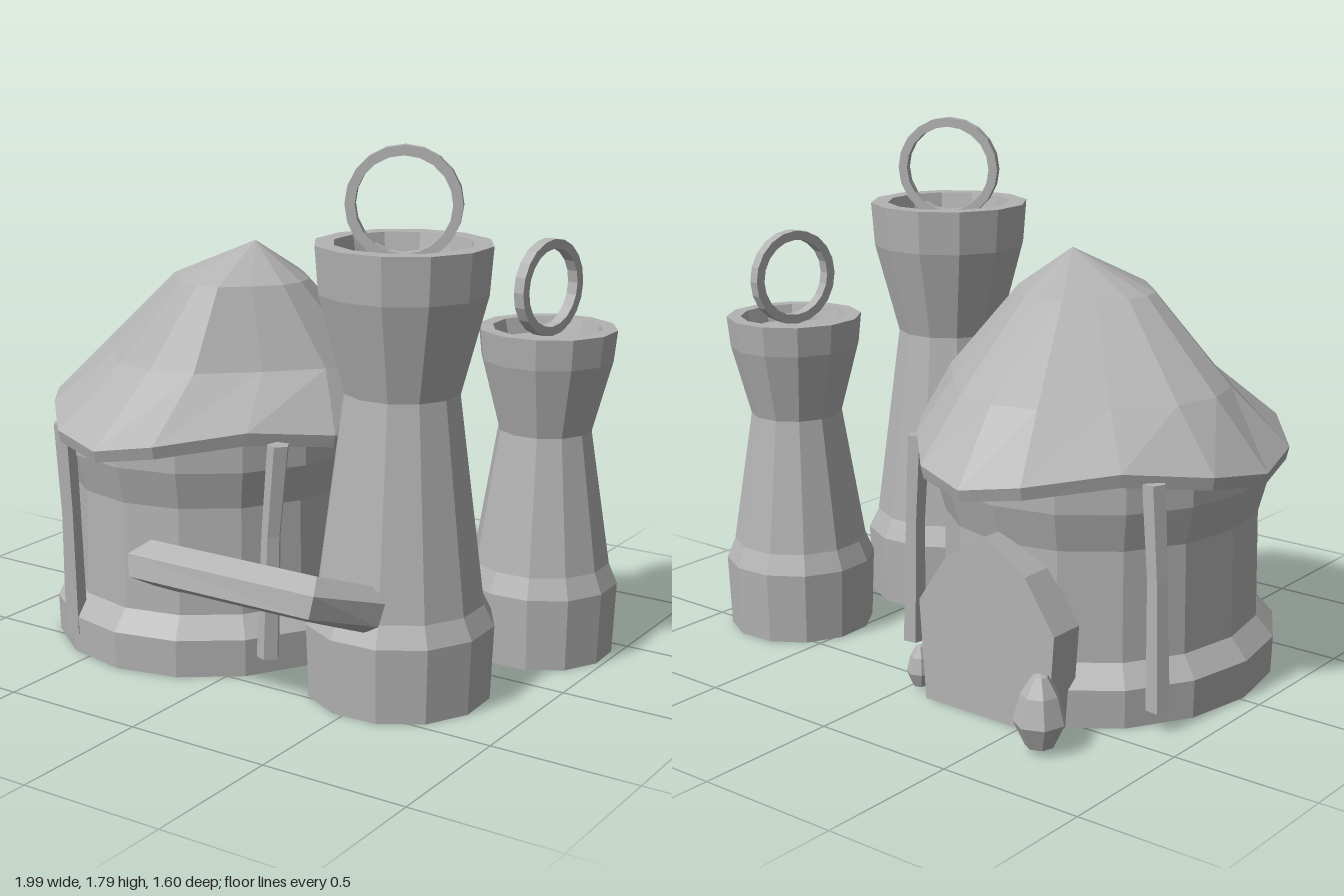
import * as THREE from 'three';

const stone = new THREE.MeshStandardMaterial({ color: 0xb3b3b3, flatShading: true, side: THREE.DoubleSide });
stone.name = 'grey stone';

const V = (x, y, z) => new THREE.Vector3(x, y, z);

function add(parent, name, geometry, x = 0, y = 0, z = 0) {
  const mesh = new THREE.Mesh(geometry, stone);
  mesh.name = name;
  mesh.position.set(x, y, z);
  parent.add(mesh);
  return mesh;
}

// Skin between cross-sections that all have the same number of points
function loft(rings, capped = false) {
  const n = rings[0].length, pos = [], index = [];
  rings.forEach(r => r.forEach(p => pos.push(p.x, p.y, p.z)));
  for (let i = 0; i < rings.length - 1; i++) {
    for (let j = 0; j < n; j++) {
      const a = i * n + j, b = i * n + (j + 1) % n;
      index.push(a, b, b + n, a, b + n, a + n);
    }
  }
  if (capped) {
    const last = (rings.length - 1) * n;
    for (let j = 1; j < n - 1; j++) {
      index.push(0, j + 1, j, last, last + j, last + j + 1);
    }
  }
  const g = new THREE.BufferGeometry();
  g.setAttribute('position', new THREE.Float32BufferAttribute(pos, 3));
  g.setIndex(index);
  const flat = g.toNonIndexed();
  flat.computeVertexNormals();
  return flat;
}

// Horizontal ellipse, ordered so that lofting upwards faces outwards
function ellipse(cx, cz, rx, rz, y, n, turn = 0) {
  return Array.from({ length: n }, (_, i) => {
    const a = turn - i / n * Math.PI * 2;
    return V(cx + rx * Math.cos(a), y, cz + rz * Math.sin(a));
  });
}

// Flared tower with a sunken top and an upright ring
function tower(name, x, z, profile, ringY, ringR, turn) {
  const g = new THREE.Group();
  g.name = name;
  g.position.set(x, 0, z);
  add(g, 'towerBody', loft(profile.map(([r, y]) => ellipse(0, 0, r, r, y, 12, 0.22))));
  const w = 0.02, t = 0.032;
  const section = [[ringR - t, -w], [ringR, -w], [ringR, w], [ringR - t, w], [ringR - t, -w]];
  const ringGeo = new THREE.LatheGeometry(section.map(p => new THREE.Vector2(...p)), 20);
  ringGeo.rotateX(Math.PI / 2);
  add(g, 'topRing', ringGeo, 0, ringY, 0).rotation.y = turn;
  return g;
}

// Pinched oval outline of the roof
function roofRing(cx, cz, s, yAt) {
  const quarter = [[1, 0], [0.92, 0.3], [0.62, 0.63], [0.31, 0.92]];
  const pts = [];
  for (let q = 0; q < 4; q++) {
    quarter.forEach(([u, v], i) => {
      let c = u, d = v;
      for (let k = 0; k < q; k++) [c, d] = [-d, c];
      // later quarters reuse the mirrored shape
      pts.push(V(cx + c * 0.655 * s[0], yAt(Math.sin(i * Math.PI / 4) ** 2), cz - d * 0.745 * s[1]));
    });
  }
  return pts;
}

function hut() {
  const g = new THREE.Group();
  g.name = 'hut';
  // Round wall on a wider footing, open below
  const wall = [[0.575, 0.63, 0], [0.58, 0.635, 0.13], [0.52, 0.575, 0.2], [0.515, 0.57, 0.57],
    [0.55, 0.605, 0.7], [0.55, 0.605, 0.8]];
  add(g, 'wall', loft(wall.map(([rx, rz, y]) => ellipse(-0.355, 0.02, rx, rz, y, 16))));

  // Leaning roof with a wavy eave
  add(g, 'roof', loft([
    roofRing(-0.345, 0.005, [0.8, 0.8], () => 0.8),
    roofRing(-0.345, 0.005, [0.985, 0.985], k => 0.745 + 0.055 * k),
    roofRing(-0.345, 0.005, [1, 1], k => 0.785 + 0.06 * k),
    roofRing(-0.31, -0.02, [0.775, 0.69], () => 1.01),
    roofRing(-0.23, 0.08, [0.38, 0.345], () => 1.28),
    roofRing(-0.16, 0.095, [0.001, 0.001], () => 1.41),
  ]));

  // Slightly crooked posts under the eave
  const posts = [[-0.59, 0.59, 0.01], [0.13, 0.42, -0.015], [0.14, -0.39, 0.01], [-0.84, -0.37, -0.01]];
  for (const [x, z, bend] of posts) {
    const rows = [[0.07, 0.04, bend], [0.5, 0.034, 0], [0.81, 0.038, -bend * 2]];
    add(g, 'post', loft(rows.map(([y, r, dx]) => ellipse(x + dx, z, r, r, y, 5, x)), true));
  }

  // Pointed door slab at the back
  const door = new THREE.Shape([[-0.25, 0], [0.25, 0], [0.275, 0.34], [0.16, 0.51], [0, 0.61],
    [-0.16, 0.51], [-0.275, 0.34]].map(p => new THREE.Vector2(...p)));
  add(g, 'door', new THREE.ExtrudeGeometry(door, { depth: 0.13, bevelEnabled: false }), -0.36, 0, -0.63);
  return g;
}

// Six-sided rail bent back at both ends
function rail() {
  const path = [V(-0.16, 0.34, 0.5), V(-0.13, 0.438, 0.72), V(0.49, 0.438, 0.72), V(0.58, 0.36, 0.52)];
  const rings = path.map((p, i) => {
    const before = p.clone().sub(path[Math.max(i - 1, 0)]).normalize();
    const after = path[Math.min(i + 1, 3)].clone().sub(p).normalize();
    const dir = before.add(after).normalize();
    const side = V(0, 1, 0).cross(dir).normalize();
    const up = dir.clone().cross(side);
    const mitre = i === 1 || i === 2 ? 1.25 : 0.9;
    return Array.from({ length: 6 }, (_, k) => {
      const a = (k + 0.5) / 6 * Math.PI * 2;
      return p.clone().addScaledVector(side, Math.cos(a) * 0.075 * mitre).addScaledVector(up, Math.sin(a) * 0.075);
    });
  });
  return loft(rings, true);
}

// Faceted bud standing on the ground
function bud(r, h) {
  const rows = [[0.55, 0], [1, 0.34], [0.72, 0.72], [0.3, 0.97], [0.02, 1]];
  return loft(rows.map(([k, y]) => ellipse(0, 0, r * k, r * k, y * h, 7, 0.3)), true);
}

export function createModel() {
  const model = new THREE.Group();
  model.name = 'hutWithTowers';
  model.add(hut());
  model.add(tower('tallTower', 0.53, 0.265, [[0.305, 0], [0.315, 0.25], [0.28, 0.32], [0.19, 1.01],
    [0.275, 1.33], [0.287, 1.485], [0.225, 1.485], [0.208, 1.4], [0.001, 1.4]], 1.605, 0.185, 0.45));
  model.add(tower('shortTower', 0.73, -0.35, [[0.255, 0], [0.265, 0.25], [0.235, 0.32], [0.16, 0.785],
    [0.225, 1.03], [0.236, 1.135], [0.187, 1.135], [0.173, 1.08], [0.001, 1.08]], 1.27, 0.165, 1.39));
  add(model, 'rail', rail());
  add(model, 'largeBud', bud(0.085, 0.235), -0.65, 0.02, -0.72);
  add(model, 'smallBud', bud(0.045, 0.14), -0.05, 0.02, -0.59);
  return model;
}
